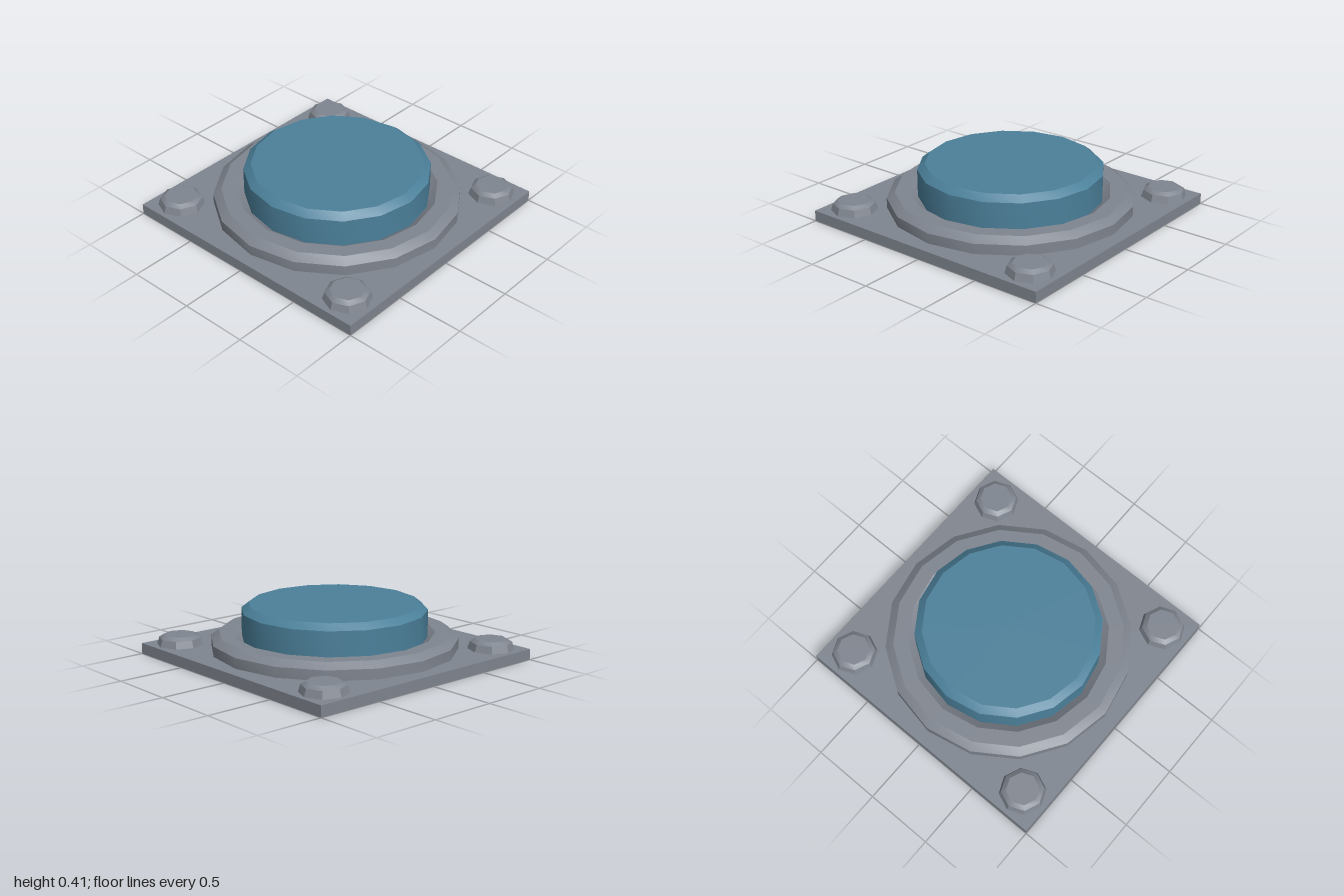
import * as THREE from 'three';
import { toCreasedNormals } from 'three/addons/utils/BufferGeometryUtils.js';

const grey = new THREE.MeshStandardMaterial({ color: 0x7f858f, side: THREE.DoubleSide });
grey.name = 'grey metal';
const blue = new THREE.MeshStandardMaterial({ color: 0x4b809a });
blue.name = 'blue cap';

// Revolve a [radius, height] profile, smooth around but creased at the bevels
function turned(name, profile, sides, material) {
  const points = profile.map(([r, y]) => new THREE.Vector2(r, y));
  const geometry = toCreasedNormals(new THREE.LatheGeometry(points, sides), Math.PI / 6);
  const mesh = new THREE.Mesh(geometry, material);
  mesh.name = name;
  return mesh;
}

export function createModel() {
  const model = new THREE.Group();
  model.name = 'pushButton';

  // Square base plate: a shallow box, open underneath
  const box = new THREE.BoxGeometry(2, 0.08, 2);
  const faces = Array.from(box.index.array);
  faces.splice(18, 6); // remove the bottom face
  box.setIndex(faces);
  box.clearGroups();
  const plate = new THREE.Mesh(box, grey);
  plate.name = 'basePlate';
  plate.position.y = 0.04;
  model.add(plate);

  // Raised collar with bevels outside and inside
  model.add(turned('collar', [
    [0.9, 0.08], [0.9, 0.155], [0.84, 0.197], [0.73, 0.197], [0.67, 0.155],
  ], 16, grey));

  // Round button with a bevelled top edge
  model.add(turned('button', [
    [0.675, 0.08], [0.675, 0.362], [0.62, 0.405], [0, 0.405],
  ], 16, blue));

  // Octagonal bolt heads in the corners
  for (const x of [-0.8, 0.8]) {
    for (const z of [-0.8, 0.8]) {
      const bolt = turned('bolt', [
        [0.169, 0.08], [0.152, 0.132], [0.118, 0.154], [0, 0.154],
      ], 8, grey);
      bolt.position.set(x, 0, z);
      model.add(bolt);
    }
  }
  return model;
}
